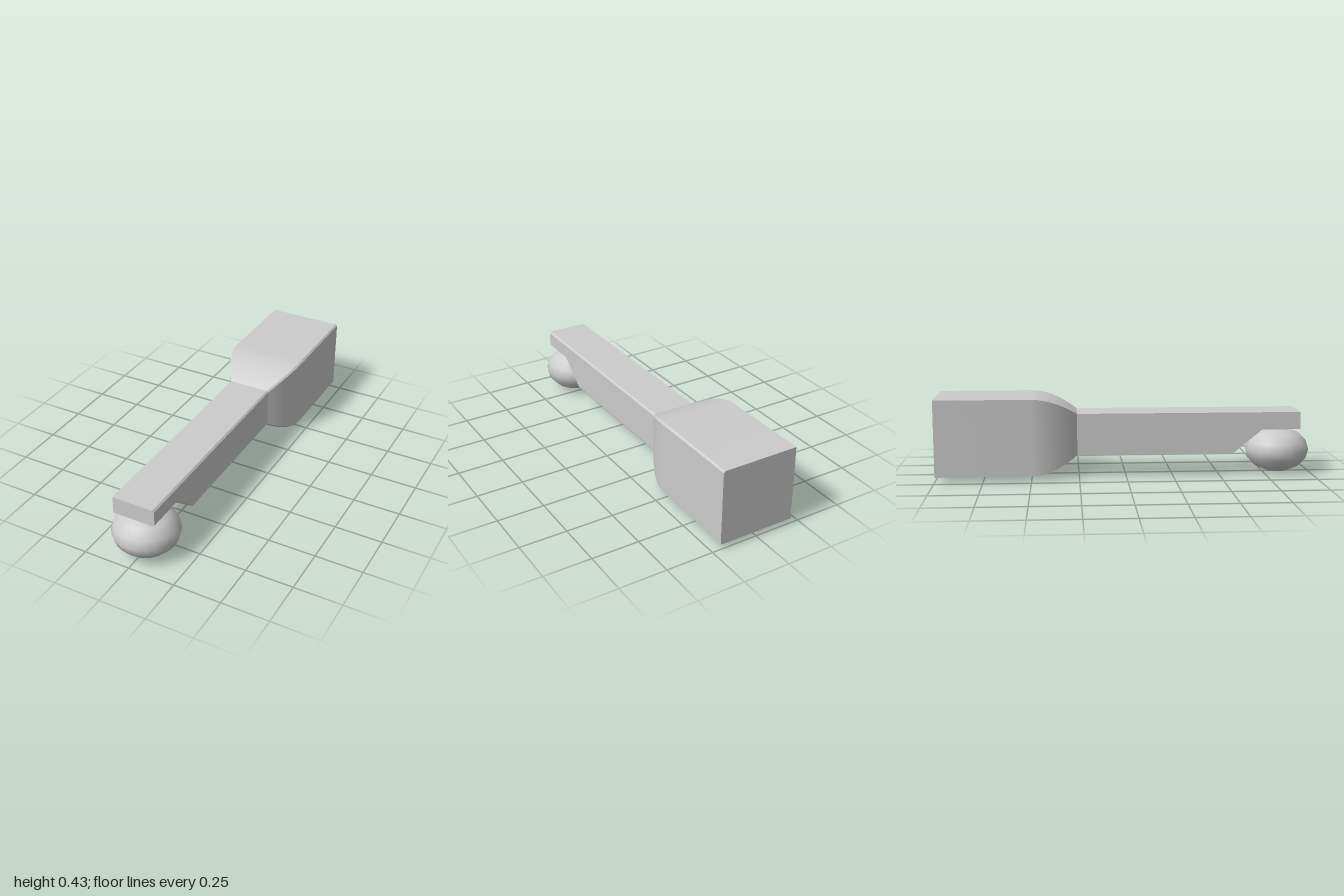
import * as THREE from 'three';
import { toCreasedNormals } from 'three/addons/utils/BufferGeometryUtils.js';

const CHAMFER = 0.009;

// Rectangle with its two +x corners chamfered, counter-clockwise from the front
function section(z, w, y0, y1) {
  const c = CHAMFER;
  return [[-w, y0], [w - c, y0], [w, y0 + c], [w, y1 - c], [w - c, y1], [-w, y1]]
    .map(([x, y]) => [x, y, z]);
}

// Skin a row of sections (back to front) and cap both ends
function loft(sections) {
  const n = sections[0].length, index = [];
  for (let s = 0; s < sections.length - 1; s++) {
    for (let i = 0; i < n; i++) {
      const j = (i + 1) % n, a = s * n, b = a + n;
      index.push(a + i, a + j, b + j, a + i, b + j, b + i);
    }
  }
  const last = (sections.length - 1) * n;
  for (let i = 1; i < n - 1; i++) {
    index.push(0, i + 1, i, last, last + i, last + i + 1);
  }
  const geometry = new THREE.BufferGeometry();
  geometry.setAttribute('position', new THREE.Float32BufferAttribute(sections.flat(2), 3));
  geometry.setIndex(index);
  return toCreasedNormals(geometry, 0.4);
}

export function createModel() {
  const group = new THREE.Group();
  const material = new THREE.MeshStandardMaterial({ color: 0xcccccc });
  const mix = THREE.MathUtils.lerp;

  // Square grip, rounded shoulder, slim neck and undercut tip
  const sections = [section(-1, 0.205, 0.028, 0.43)];
  const shoulder = new THREE.QuadraticBezierCurve(
    new THREE.Vector2(-0.5, 1), new THREE.Vector2(-0.39, 1), new THREE.Vector2(-0.26, 0));
  for (const p of shoulder.getPoints(12)) {
    sections.push(section(p.x, mix(0.114, 0.205, p.y), mix(0.12, 0.028, p.y), mix(0.341, 0.43, p.y)));
  }
  sections.push(
    section(0.57, 0.114, 0.12, 0.341),
    section(0.725, 0.114, 0.248, 0.341),
    section(0.93, 0.114, 0.248, 0.341));
  const handle = new THREE.Mesh(loft(sections), material);
  handle.name = 'handle';
  group.add(handle);

  // Flattened ball under the tip
  const ball = new THREE.Mesh(new THREE.SphereGeometry(1, 24, 8), material);
  ball.name = 'ball';
  ball.scale.set(0.172, 0.122, 0.172);
  ball.position.set(0, 0.124, 0.828);
  group.add(ball);

  return group;
}
